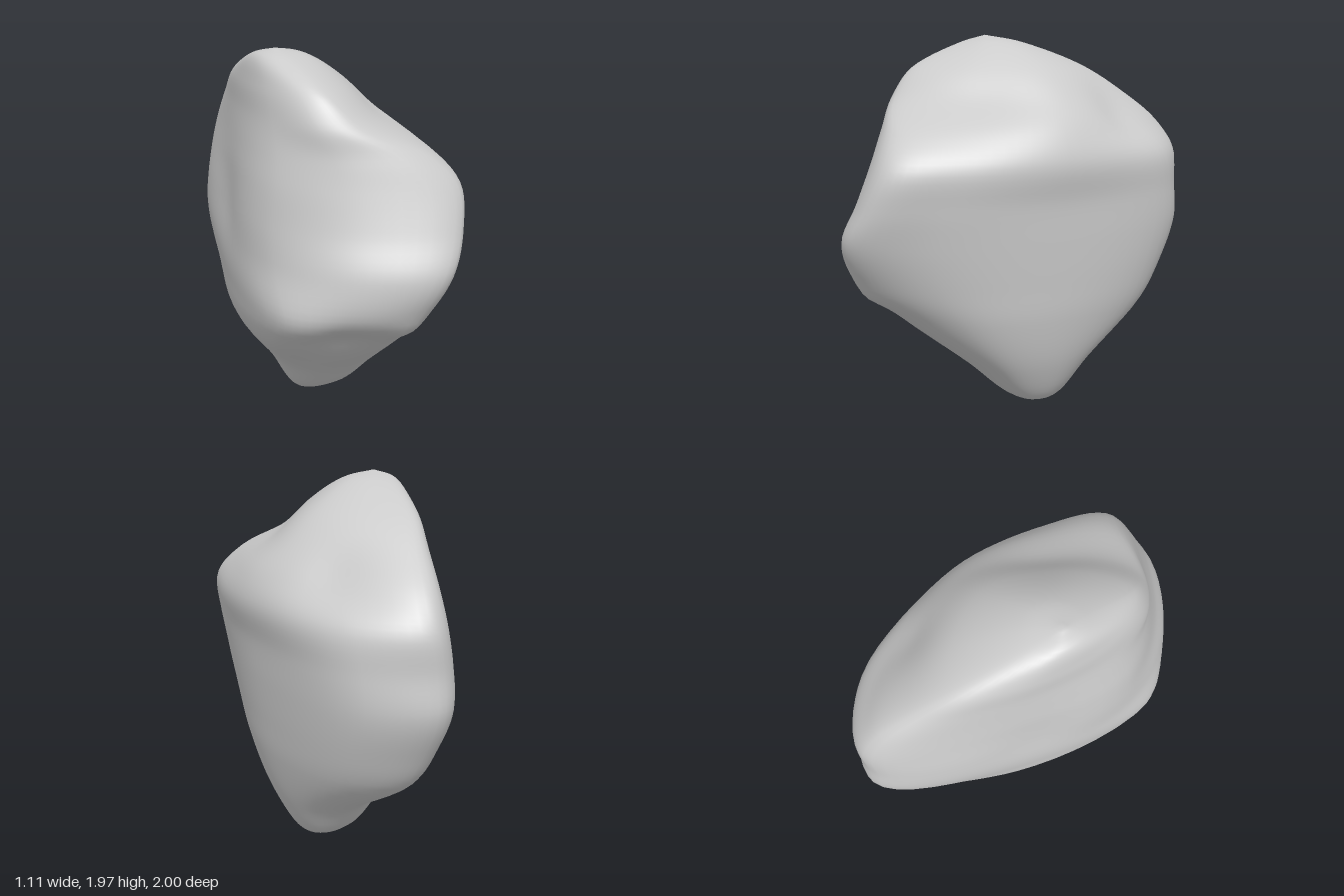
import * as THREE from 'three';

const V = (x, y, z) => new THREE.Vector3(x, y, z);

// Horizontal sections: y, then x,z of the front, right, back and left extremes,
// then corner fullness: front-right, back-right, back-left, front-left
const sections = [
  [0.03, 0.13, 0.09, 0.26, -0.04, 0.14, -0.17, -0.08, 0.0, 0.45, 0.45, 0.45, 0.45],
  [0.24, 0.10, 0.33, 0.38, -0.05, 0.15, -0.36, -0.23, 0.04, 0.45, 0.45, 0.42, 0.48],
  [0.52, 0.02, 0.67, 0.455, -0.03, 0.08, -0.76, -0.48, 0.30, 0.38, 0.48, 0.3, 0.32],
  [0.72, 0.00, 0.89, 0.48, -0.02, 0.05, -0.89, -0.555, 0.47, 0.32, 0.52, 0.26, 0.3],
  [0.95, 0.07, 1.00, 0.50, 0.0, 0.04, -0.99, -0.53, 0.34, 0.28, 0.53, 0.25, 0.33],
  [1.15, 0.18, 0.95, 0.515, 0.0, 0.04, -0.975, -0.515, 0.30, 0.28, 0.53, 0.24, 0.32],
  [1.35, 0.23, 0.87, 0.545, 0.0, 0.07, -0.965, -0.49, 0.30, 0.26, 0.44, 0.22, 0.34],
  [1.50, 0.12, 0.77, 0.49, 0.0, 0.05, -0.88, -0.46, 0.28, 0.22, 0.3, 0.22, 0.38],
  [1.65, -0.17, 0.62, 0.36, -0.05, -0.02, -0.71, -0.43, 0.22, 0.25, 0.27, 0.23, 0.46],
  [1.80, -0.27, 0.47, 0.19, -0.05, -0.12, -0.49, -0.40, 0.14, 0.28, 0.32, 0.26, 0.46],
  [1.93, -0.26, 0.18, -0.06, 0.0, -0.22, -0.15, -0.345, 0.05, 0.42, 0.42, 0.4, 0.42],
];
const bottom = V(0.17, 0, -0.04), top = V(-0.25, 1.968, 0.04);
const SIDES = 64, STEPS = 6;

// Shallow hollows and swellings: centre, radius, push toward the middle
const dents = [
  [V(-0.38, 1.15, -0.25), 0.26, 0.04],
  [V(0.30, 1.55, -0.45), 0.16, 0.03],
  [V(0.12, 1.68, 0.25), 0.2, 0.02],
  [V(-0.28, 0.60, 0.66), 0.15, 0.035],
  [V(-0.05, 0.66, 0.84), 0.09, -0.02],
];

// Smooth closed outline of one section
function outline([y, fx, fz, rx, rz, bx, bz, lx, lz, ...full]) {
  const p = [V(fx, y, fz), V(rx, y, rz), V(bx, y, bz), V(lx, y, lz)];
  const corners = [V(rx, y, fz), V(rx, y, bz), V(lx, y, bz), V(lx, y, fz)];
  const pts = p.flatMap((a, i) => [
    a, a.clone().lerp(p[(i + 1) % 4], 0.5).lerp(corners[i], full[i]),
  ]);
  const curve = new THREE.CatmullRomCurve3(pts, true, 'centripetal');
  return Array.from({ length: SIDES }, (_, j) => curve.getPoint(j / SIDES));
}

function dent(p) {
  const inward = V(0, 1, 0).sub(p).normalize();
  for (const [c, r, depth] of dents) {
    p.addScaledVector(inward, depth * Math.exp(-p.distanceToSquared(c) / (r * r)));
  }
  return p;
}

function rockGeometry() {
  const rings = sections.map(outline);
  const rows = (sections.length + 1) * STEPS; // row 0 and the last row are poles
  const pos = [], index = [];
  const lines = Array.from({ length: SIDES }, (_, j) =>
    new THREE.CatmullRomCurve3([bottom, ...rings.map(r => r[j]), top], false, 'centripetal'));
  pos.push(...bottom.toArray());
  for (let i = 1; i < rows; i++) {
    for (const line of lines) pos.push(...dent(line.getPoint(i / rows)).toArray());
  }
  pos.push(...top.toArray());
  const last = pos.length / 3 - 1;
  const id = (i, j) => 1 + (i - 1) * SIDES + (j % SIDES);
  for (let j = 0; j < SIDES; j++) {
    index.push(0, id(1, j + 1), id(1, j));
    for (let i = 1; i < rows - 1; i++) {
      const a = id(i, j), b = id(i, j + 1), c = id(i + 1, j + 1), d = id(i + 1, j);
      index.push(a, b, d, b, c, d);
    }
    index.push(id(rows - 1, j), id(rows - 1, j + 1), last);
  }
  const geo = new THREE.BufferGeometry();
  geo.setAttribute('position', new THREE.Float32BufferAttribute(pos, 3));
  geo.setIndex(index);
  geo.computeVertexNormals();
  return geo;
}

export function createModel() {
  const group = new THREE.Group();
  group.name = 'boulder';
  const rock = new THREE.Mesh(rockGeometry(), new THREE.MeshStandardMaterial({ color: 0xcccccc }));
  rock.name = 'rock';
  group.add(rock);
  return group;
}
